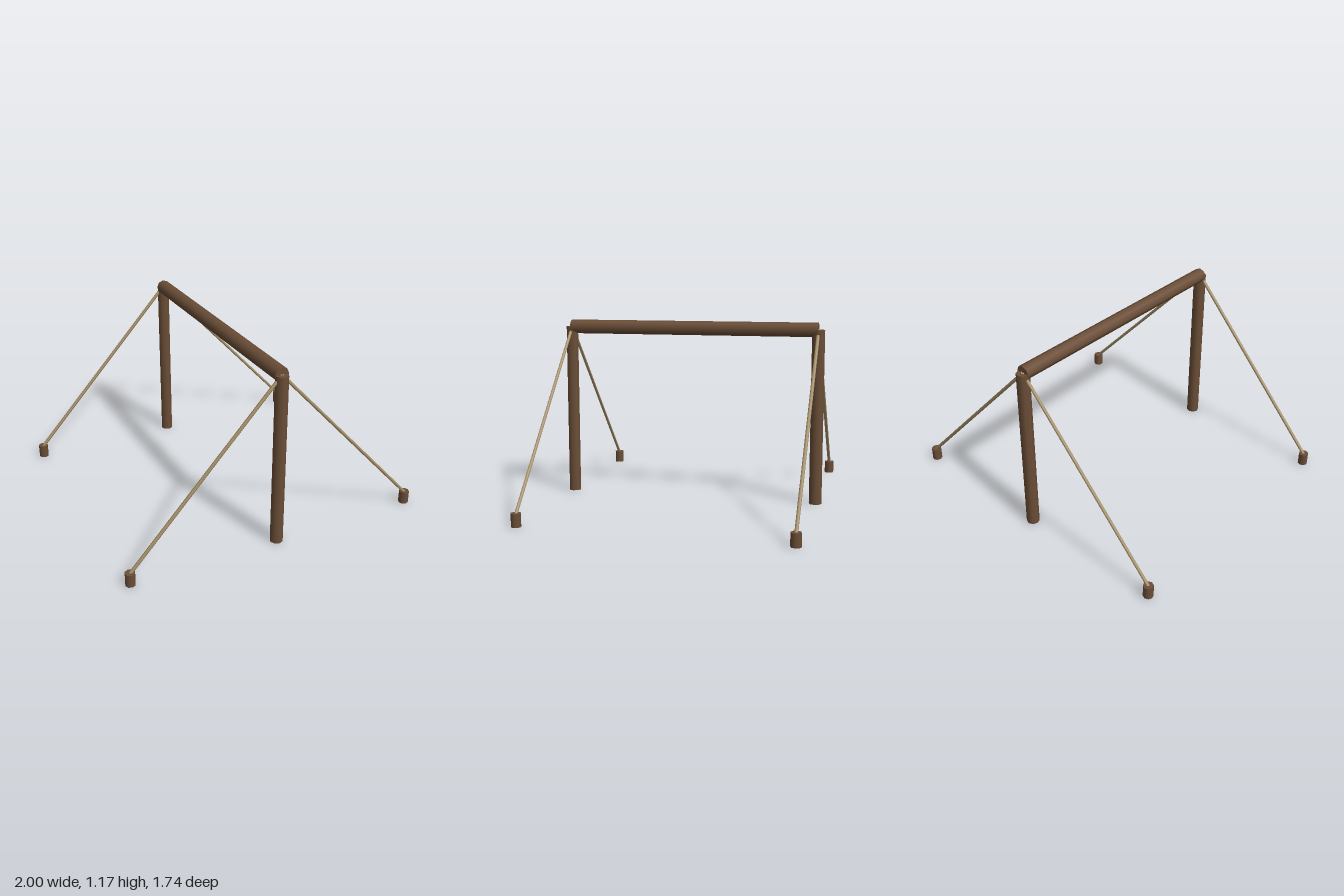
import * as THREE from 'three';

export function createModel() {
  const group = new THREE.Group();
  const wood = new THREE.MeshStandardMaterial({ name: 'brown wood', color: 0x6b4e37 });
  const rope = new THREE.MeshStandardMaterial({ name: 'tan rope', color: 0xa8926a });
  const UP = new THREE.Vector3(0, 1, 0);

  // Round pole running between two points
  function pole(name, from, to, radius, sides, material) {
    const a = new THREE.Vector3(...from);
    const dir = new THREE.Vector3(...to).sub(a);
    const mesh = new THREE.Mesh(
      new THREE.CylinderGeometry(radius, radius, dir.length(), sides), material);
    mesh.name = name;
    mesh.position.copy(a).addScaledVector(dir, 0.5);
    mesh.quaternion.setFromUnitVectors(UP, dir.normalize());
    group.add(mesh);
  }

  const endZ = 0.828, top = 1.126, stakeX = 0.968;

  // Ridge beam resting on the two posts
  pole('ridgeBeam', [0, top, -endZ], [0, top, endZ], 0.046, 8, wood);

  for (const z of [endZ, -endZ]) {
    const end = z > 0 ? 'front' : 'back';
    pole(end + 'Post', [0, 0, z], [0, top, z], 0.041, 8, wood);

    // Guy ropes pegged out to stakes on both sides
    for (const side of [1, -1]) {
      const label = end + (side > 0 ? 'Left' : 'Right');
      pole(label + 'Stake', [side * stakeX, 0, z], [side * stakeX, 0.083, z], 0.032, 8, wood);
      pole(label + 'Rope', [0, top, z], [side * stakeX, 0.075, z], 0.011, 6, rope);
    }
  }
  return group;
}
